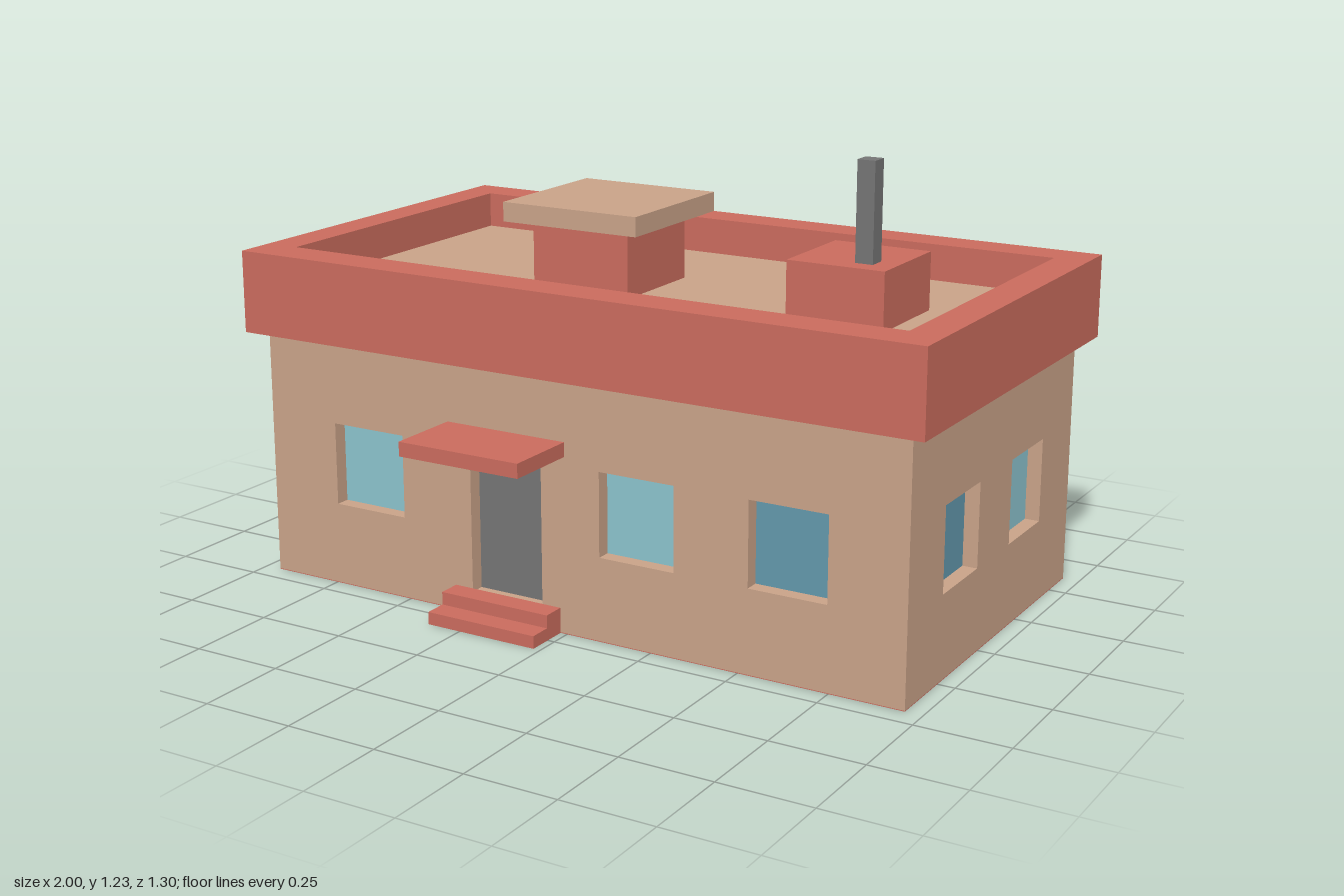
import * as THREE from 'three';

const material = (name, color) => Object.assign(new THREE.MeshStandardMaterial({ color }), { name });

export function createModel() {
  const tan = material('tan plaster', 0xc8a288);
  const red = material('red trim', 0xc96b5d);
  const grey = material('dark grey', 0x747474);
  const lightGlass = material('light glass', 0x8bc2cc);
  const darkGlass = material('dark glass', 0x6297ab);

  const model = new THREE.Group();
  model.name = 'house';

  const add = (parent, name, geometry, mat) => {
    const mesh = new THREE.Mesh(geometry, mat);
    mesh.name = name;
    parent.add(mesh);
    return mesh;
  };

  // Box given by its limits on each axis
  const block = (parent, name, mat, [x0, x1], [y0, y1], [z0, z1]) =>
    add(parent, name, new THREE.BoxGeometry(x1 - x0, y1 - y0, z1 - z0), mat)
      .position.set((x0 + x1) / 2, (y0 + y1) / 2, (z0 + z1) / 2);

  const rect = (Type, x0, x1, y0, y1) => new Type([
    new THREE.Vector2(x0, y0), new THREE.Vector2(x1, y0),
    new THREE.Vector2(x1, y1), new THREE.Vector2(x0, y1),
  ]);

  const HALF = 0.953, FRONT = 0.44, BACK = -0.606;
  const WALL_TOP = 0.685, ROOF = 0.81, TOP = 0.91;
  const DEPTH = 0.04, PANE = 0.008, BASE = 0.002;

  // Wall with recessed openings; u runs to the viewer's right when facing the wall
  const wall = (name, angle, offset, u0, u1, openings) => {
    const group = new THREE.Group();
    group.name = name;
    group.rotation.y = angle;
    model.add(group);
    const shape = rect(THREE.Shape, u0, u1, BASE, WALL_TOP);
    for (const o of openings) {
      const y0 = o.y0 ?? 0.228, y1 = 0.456;
      shape.holes.push(rect(THREE.Path, o.a, o.b, y0, y1));
      block(group, o.name ?? 'window', o.mat, [o.a - 0.01, o.b + 0.01], [y0 - 0.01, y1 + 0.01],
        [offset - DEPTH - PANE, offset - DEPTH]);
    }
    add(group, name + 'Panel', new THREE.ExtrudeGeometry(shape, { depth: DEPTH, bevelEnabled: false }), tan)
      .position.z = offset - DEPTH;
  };

  wall('frontWall', 0, FRONT, -HALF, HALF, [
    { a: -0.738, b: -0.513, mat: lightGlass },
    { a: -0.295, b: -0.075, y0: 0.06, mat: grey, name: 'door' },
    { a: 0.1, b: 0.317, mat: lightGlass },
    { a: 0.527, b: 0.743, mat: darkGlass },
  ]);
  wall('backWall', Math.PI, -BACK, -HALF, HALF, [
    { a: -0.743, b: -0.527, mat: darkGlass },
    { a: -0.317, b: -0.1, mat: lightGlass },
    { a: 0.112, b: 0.33, mat: lightGlass },
    { a: 0.525, b: 0.743, mat: lightGlass },
  ]);
  wall('leftWall', Math.PI / 2, HALF, -FRONT + DEPTH, -BACK - DEPTH, [
    { a: -0.235, b: -0.023, mat: darkGlass },
    { a: 0.185, b: 0.398, mat: lightGlass },
  ]);
  wall('rightWall', -Math.PI / 2, HALF, BACK + DEPTH, FRONT - DEPTH, [
    { a: -0.398, b: -0.185, mat: darkGlass },
    { a: 0.023, b: 0.235, mat: lightGlass },
  ]);

  // Underside
  block(model, 'basePlate', red, [-HALF, HALF], [0, BASE], [BACK, FRONT]);

  // Parapet ring; shape y becomes -z once laid flat
  const ring = rect(THREE.Shape, -1, 1, -0.482, 0.65);
  ring.holes.push(rect(THREE.Path, -0.905, 0.905, -0.372, 0.545));
  const parapet = add(model, 'parapet',
    new THREE.ExtrudeGeometry(ring, { depth: TOP - WALL_TOP, bevelEnabled: false }), red);
  parapet.rotation.x = -Math.PI / 2;
  parapet.position.y = WALL_TOP;

  // Flat roof inside the parapet
  block(model, 'flatRoof', tan, [-0.905, 0.905], [ROOF - 0.04, ROOF], [-0.545, 0.372]);

  // Roof hatch with overhanging slab
  block(model, 'hatchBase', red, [-0.332, -0.037], [ROOF, 0.992], [-0.225, 0.074]);
  block(model, 'hatchSlab', tan, [-0.39, 0.022], [0.992, 1.045], [-0.283, 0.131]);

  // Chimney
  block(model, 'chimneyBase', red, [0.423, 0.695], [ROOF, 0.965], [-0.219, 0.06]);
  block(model, 'chimneyPipe', grey, [0.588, 0.637], [0.965, 1.227], [-0.043, 0.006]);

  // Entrance canopy and steps
  block(model, 'canopy', red, [-0.364, -0.003], [0.479, 0.518], [FRONT, 0.65]);
  block(model, 'lowerStep', red, [-0.349, -0.02], [0, 0.034], [FRONT, 0.566]);
  block(model, 'upperStep', red, [-0.349, -0.02], [0.034, 0.069], [FRONT, 0.503]);

  return model;
}
